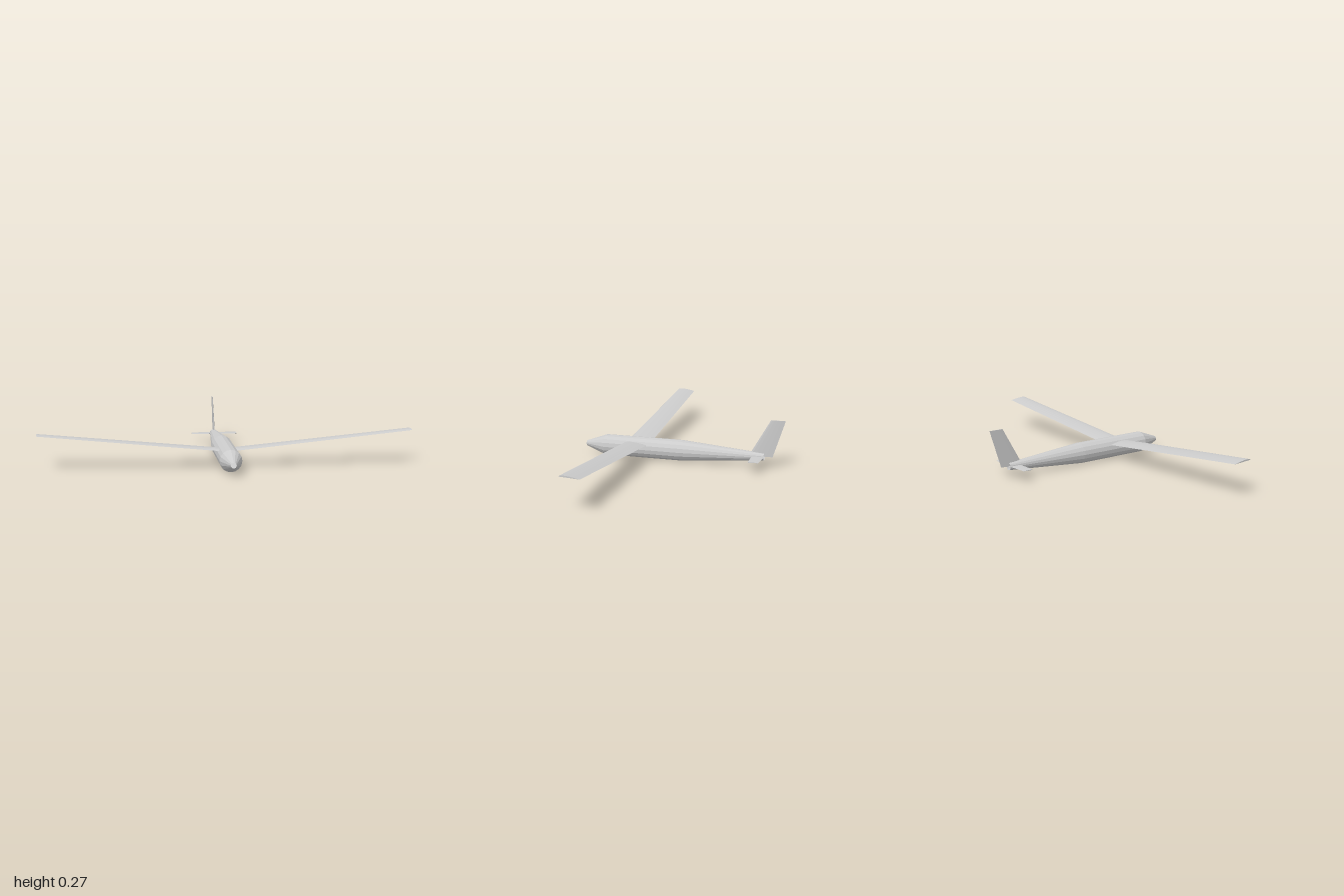
import * as THREE from 'three';

const material = new THREE.MeshStandardMaterial({ color: 0xcccccc, flatShading: true, side: THREE.DoubleSide });

// Closed aerofoil outline as [chord fraction, height]: over the top, then back underneath.
function aerofoil(steps, lower) {
  const height = t => 2.6 * (Math.sqrt(t) - t) * (1 + 0.5 * t);
  const points = [];
  for (let i = 0; i <= steps; i++) {
    const t = (i / steps) ** 1.5;
    points.push([t, height(t)]);
  }
  for (let i = steps - 1; i > 0; i--) {
    const t = (i / steps) ** 1.5;
    points.push([t, -lower * height(t)]);
  }
  return points;
}

// Joins scaled copies of a section along x and caps both tips.
// Each station: span position, leading edge z and y, trailing edge z and y, thickness.
function loft(name, section, stations) {
  const positions = [], index = [], n = section.length;
  for (const s of stations) {
    for (const [t, h] of section) {
      positions.push(
        s.span,
        THREE.MathUtils.lerp(s.lead[1], s.trail[1], t) + h * s.thick,
        THREE.MathUtils.lerp(s.lead[0], s.trail[0], t));
    }
  }
  const last = (stations.length - 1) * n;
  for (let k = 0; k < last; k += n) {
    for (let j = 0; j < n; j++) {
      const a = k + j, b = k + (j + 1) % n;
      index.push(a, a + n, b + n, a, b + n, b);
    }
  }
  for (let j = 1; j < n - 1; j++) {
    index.push(0, j, j + 1, last, last + j + 1, last + j);
  }
  const geometry = new THREE.BufferGeometry();
  geometry.setAttribute('position', new THREE.Float32BufferAttribute(positions, 3));
  geometry.setIndex(index);
  geometry.computeVertexNormals();
  const mesh = new THREE.Mesh(geometry, material);
  mesh.name = name;
  return mesh;
}

// Tip, centre and mirrored tip
const mirrored = (root, tip) => [{ ...tip, span: -tip.span }, root, tip];

export function createModel() {
  const model = new THREE.Group();
  model.name = 'glider';

  // Fuselage: open sixteen-sided tube, tapered to nose and tail
  const profile = [[0.02, -0.465], [0.059, 0.01], [0.059, 0.46], [0.015, 0.58]]
    .map(([r, z]) => new THREE.Vector2(r, z));
  const fuselage = new THREE.Mesh(new THREE.LatheGeometry(profile, 16).rotateX(Math.PI / 2), material);
  fuselage.name = 'fuselage';
  fuselage.position.y = 0.061;
  model.add(fuselage);

  // Main wing: flat underside, raised tips
  model.add(loft('wing', aerofoil(8, 0), mirrored(
    { span: 0, lead: [0.336, 0.087], trail: [0.2, 0.083], thick: 0.013 },
    { span: 1, lead: [0.324, 0.184], trail: [0.215, 0.178], thick: 0.011 })));

  // Tailplane
  model.add(loft('tailplane', aerofoil(5, 1), mirrored(
    { span: 0, lead: [-0.398, 0.063], trail: [-0.468, 0.063], thick: 0.003 },
    { span: 0.135, lead: [-0.4, 0.063], trail: [-0.458, 0.063], thick: 0.0025 })));

  // Swept fin, lofted along x and turned upright
  const fin = loft('fin', aerofoil(5, 1), [
    { span: 0.062, lead: [-0.378, 0], trail: [-0.512, 0], thick: 0.005 },
    { span: 0.272, lead: [-0.499, 0], trail: [-0.58, 0], thick: 0.003 }]);
  fin.rotation.z = Math.PI / 2;
  model.add(fin);

  return model;
}
